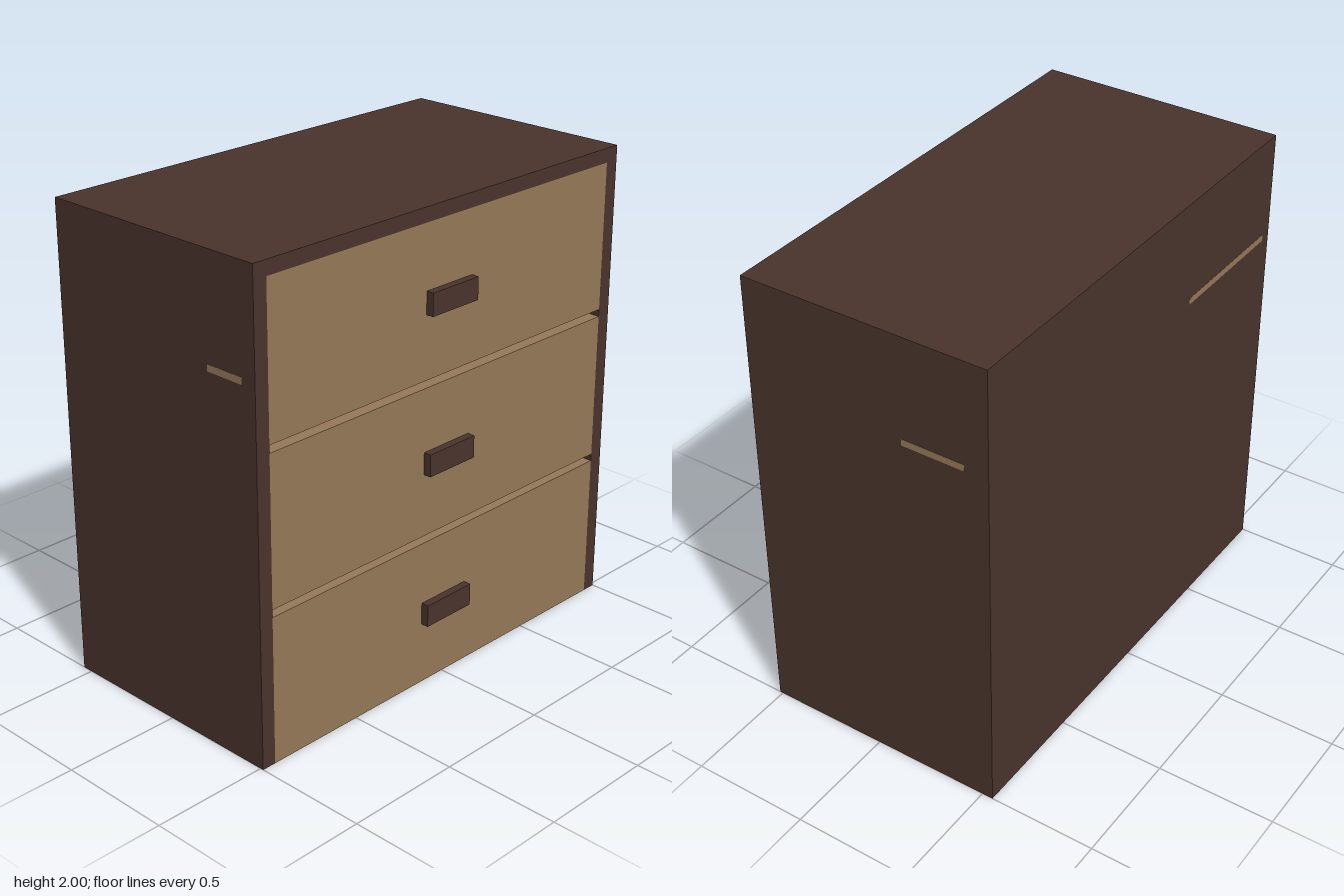
import * as THREE from 'three';

const darkWood = new THREE.MeshStandardMaterial({ color: 0x4a342c });
darkWood.name = 'darkWood';
const lightWood = new THREE.MeshStandardMaterial({ color: 0x967959 });
lightWood.name = 'lightWood';

// Box given by its min and max corners
function box(name, material, [x0, y0, z0], [x1, y1, z1]) {
  const mesh = new THREE.Mesh(new THREE.BoxGeometry(x1 - x0, y1 - y0, z1 - z0), material);
  mesh.position.set((x0 + x1) / 2, (y0 + y1) / 2, (z0 + z1) / 2);
  mesh.name = name;
  return mesh;
}

export function createModel() {
  const group = new THREE.Group();
  group.name = 'chestOfDrawers';

  const back = -0.547, front = 0.514, inner = 0.938, panel = 0.06;
  const recess = front - panel;

  // Carcass: top, two sides and the core behind the drawers
  group.add(box('topPanel', darkWood, [-1, 2 - panel, back], [1, 2, front]));
  group.add(box('leftPanel', darkWood, [inner, 0, back], [1, 2 - panel, front]));
  group.add(box('rightPanel', darkWood, [-1, 0, back], [-inner, 2 - panel, front]));
  group.add(box('core', darkWood, [-inner, 0, back], [inner, 2 - panel, recess]));

  // Three drawers with a narrow gap between them, each with a block handle
  const height = 0.626, pitch = 0.657;
  for (let i = 0; i < 3; i++) {
    const y = i * pitch, mid = y + height / 2;
    const drawer = new THREE.Group();
    drawer.name = `drawer${i + 1}`;
    drawer.add(box('drawerFront', lightWood, [-inner, y, recess], [inner, y + height, front]));
    drawer.add(box('handle', darkWood, [-0.127, mid - 0.047, front], [0.127, mid + 0.047, 0.547]));
    group.add(drawer);
  }

  // Thin light inlays on the back and both sides
  const t = 0.001, y0 = 1.542, y1 = 1.57;
  group.add(box('backInlay', lightWood, [-0.95, y0, back - t], [-0.36, y1, back]));
  group.add(box('leftInlay', lightWood, [1, y0, -0.445], [1 + t, y1, -0.175]));
  group.add(box('rightInlay', lightWood, [-1 - t, y0, 0.27], [-1, y1, 0.45]));

  return group;
}
